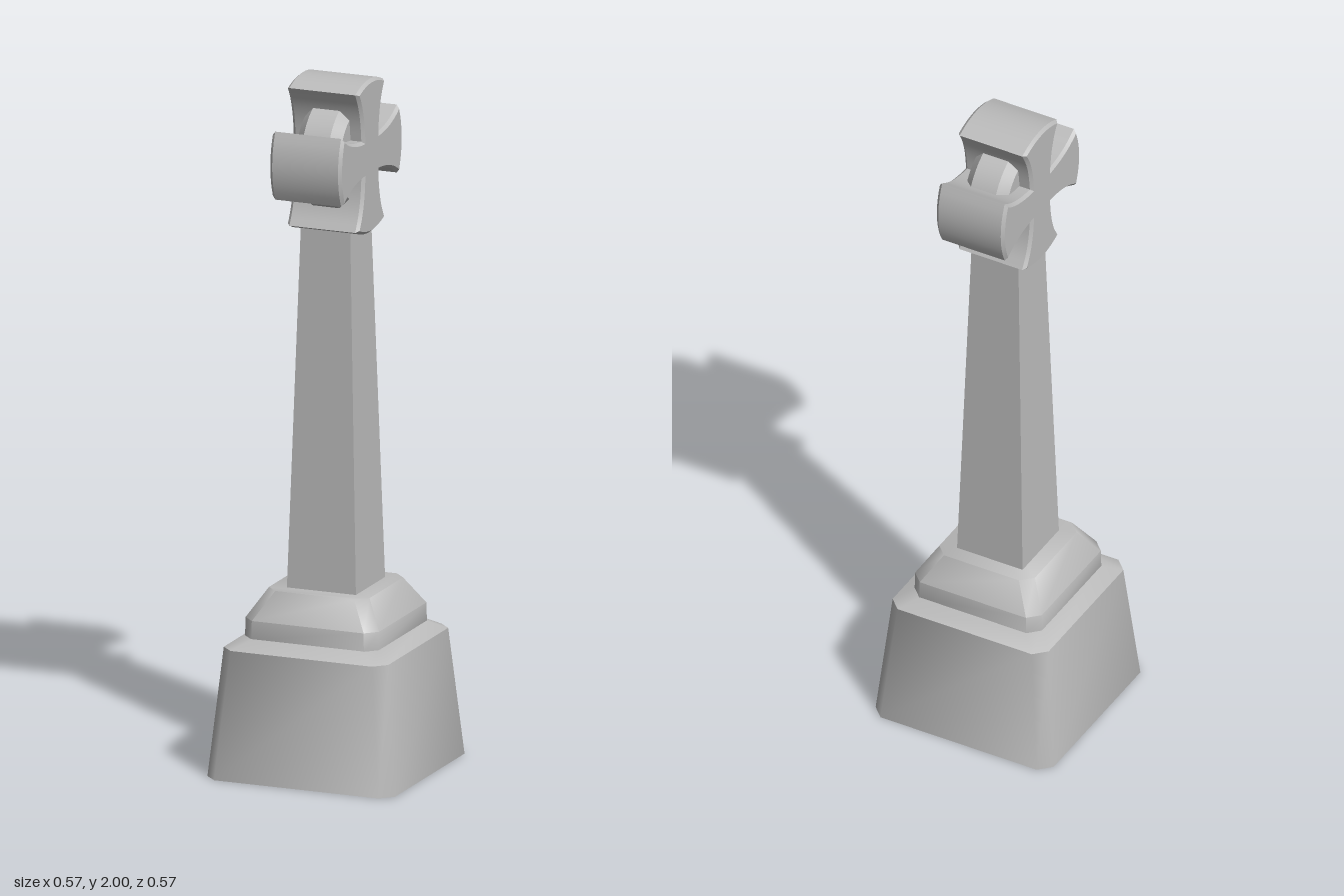
import * as THREE from 'three';
import { toCreasedNormals } from 'three/addons/utils/BufferGeometryUtils.js';

const stone = new THREE.MeshStandardMaterial({ color: 0xbcbcbc });
stone.name = 'grey stone';

// Stacks square sections with cut corners; each level is [y, half width]
function chamferedStack(levels, cut) {
  const rings = levels.map(([y, h]) => {
    const a = h - cut;
    return [[h, a], [h, -a], [a, -h], [-a, -h], [-h, -a], [-h, a], [-a, h], [a, h]]
      .map(([x, z]) => [x, y, z]);
  });
  const pos = [];
  const tri = (...points) => points.forEach((p) => pos.push(...p));
  for (let k = 0; k < rings.length - 1; k++) {
    const lo = rings[k], hi = rings[k + 1];
    for (let i = 0; i < 8; i++) {
      const j = (i + 1) % 8;
      tri(lo[i], lo[j], hi[j]);
      tri(lo[i], hi[j], hi[i]);
    }
  }
  const bottom = rings[0], top = rings[rings.length - 1];
  for (let i = 1; i < 7; i++) {
    tri(bottom[0], bottom[i + 1], bottom[i]);
    tri(top[0], top[i], top[i + 1]);
  }
  const geo = new THREE.BufferGeometry();
  geo.setAttribute('position', new THREE.Float32BufferAttribute(pos, 3));
  return toCreasedNormals(geo, 0.85);
}

// Outline of a cross with four flared arms and rounded ends
function crossShape() {
  const shape = new THREE.Shape();
  const inner = 0.046, flare = 0.088, reach = 0.196, bulge = 0.232;
  shape.moveTo(inner, -inner);
  for (let k = 0; k < 4; k++) {
    const c = Math.round(Math.cos(k * Math.PI / 2));
    const s = Math.round(Math.sin(k * Math.PI / 2));
    const curve = (cx, cy, x, y) => shape.quadraticCurveTo(
      cx * c - cy * s, cx * s + cy * c, x * c - y * s, x * s + y * c);
    curve(0.14, -0.05, reach, -flare);
    curve(bulge, 0, reach, flare);
    curve(0.14, 0.05, inner, inner);
  }
  return shape;
}

export function createModel() {
  const model = new THREE.Group();
  const add = (name, geo, y = 0) => {
    const mesh = new THREE.Mesh(geo, stone);
    mesh.name = name;
    mesh.position.y = y;
    model.add(mesh);
  };

  // Stepped pedestal
  add('pedestal', chamferedStack([[0, 0.285], [0.37, 0.25], [0.4, 0.2]], 0.035));
  add('plinth', chamferedStack([[0.395, 0.204], [0.45, 0.203], [0.53, 0.153]], 0.033));

  // Tapered square shaft
  const shaft = new THREE.CylinderGeometry(0.074 * Math.SQRT2, 0.105 * Math.SQRT2, 1.09, 4)
    .rotateY(Math.PI / 4);
  add('shaft', toCreasedNormals(shaft, 0.5), 0.525 + 0.545);

  // Cross head, with its broad faces towards +x and -x
  const cross = new THREE.ExtrudeGeometry(crossShape(), {
    depth: 0.2, curveSegments: 10, bevelEnabled: true,
    bevelThickness: 0.009, bevelSize: 0.008, bevelSegments: 1,
  });
  cross.translate(0, 0, -0.1).rotateY(Math.PI / 2);
  add('crossHead', toCreasedNormals(cross, 0.5), 1.778);

  // Bevelled disc behind the arms
  const profile = [[0, -0.067], [0.13, -0.067], [0.158, -0.04], [0.158, 0.04], [0.13, 0.067], [0, 0.067]]
    .map(([r, h]) => new THREE.Vector2(r, h));
  const disc = new THREE.LatheGeometry(profile, 48).rotateZ(Math.PI / 2);
  add('wheelDisc', toCreasedNormals(disc, 0.5), 1.778);

  return model;
}
